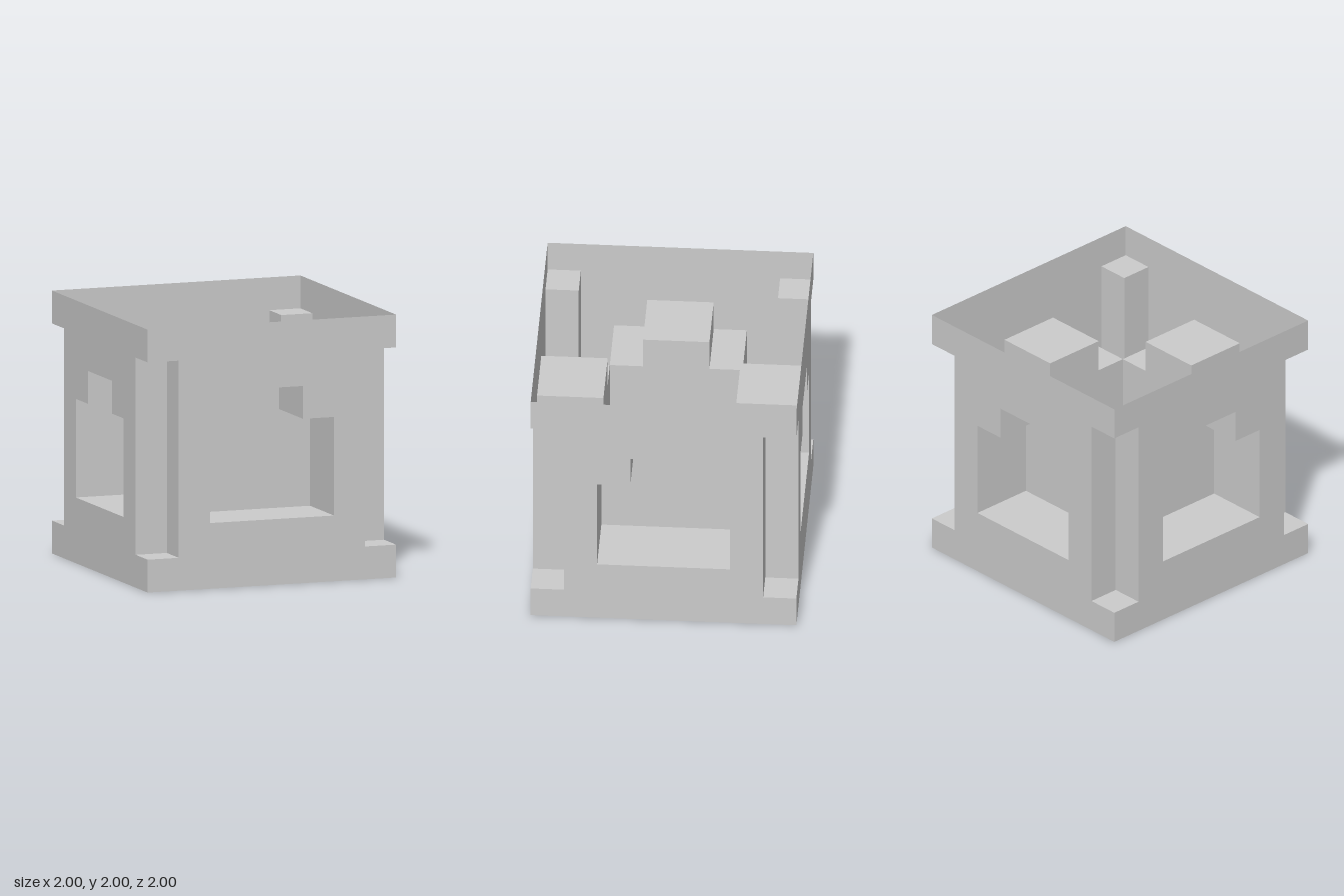
import * as THREE from 'three';

const material = new THREE.MeshStandardMaterial({
  color: 0xcccccc, flatShading: true, side: THREE.DoubleSide,
});

const shapeFrom = (points) => new THREE.Shape(points.map(([x, y]) => new THREE.Vector2(x, y)));

// Stepped window outline, counter-clockwise
const windowOutline = [
  [-0.5, 0.5], [0.5, 0.5], [0.5, 1.25], [0.25, 1.25],
  [0.25, 1.5], [-0.25, 1.5], [-0.25, 1.25], [-0.5, 1.25],
];

// Wall outline, notched along both vertical edges
const wallOutline = [
  [-1, 0], [1, 0], [1, 0.25], [0.75, 0.25], [0.75, 1.75], [1, 1.75],
  [1, 2], [-1, 2], [-1, 1.75], [-0.75, 1.75], [-0.75, 0.25], [-1, 0.25],
];

function addMesh(parent, name, geometry) {
  const mesh = new THREE.Mesh(geometry, material);
  mesh.name = name;
  parent.add(mesh);
  return mesh;
}

// Open band of faces running inward from an outline, facing its inside
function bandGeometry(outline, zFront, zBack) {
  const positions = [];
  outline.forEach(([ax, ay], i) => {
    const [bx, by] = outline[(i + 1) % outline.length];
    positions.push(
      ax, ay, zFront, bx, by, zFront, bx, by, zBack,
      ax, ay, zFront, bx, by, zBack, ax, ay, zBack,
    );
  });
  const geometry = new THREE.BufferGeometry();
  geometry.setAttribute('position', new THREE.Float32BufferAttribute(positions, 3));
  geometry.computeVertexNormals();
  return geometry;
}

// Thin wall with a closed, stepped pocket behind its opening
function createSide() {
  const side = new THREE.Group();
  const wall = shapeFrom(wallOutline);
  wall.holes.push(shapeFrom(windowOutline));
  addMesh(side, 'wall', new THREE.ShapeGeometry(wall)).position.z = 1;
  addMesh(side, 'pocketSides', bandGeometry(windowOutline, 1, 0.5));
  addMesh(side, 'pocketBack', new THREE.ShapeGeometry(shapeFrom(windowOutline))).position.z = 0.5;
  return side;
}

// Square recess cut into a vertical corner
function createCornerRecess() {
  const corner = new THREE.Group();
  const upright = new THREE.PlaneGeometry(0.25, 1.5);
  const ledge = new THREE.PlaneGeometry(0.25, 0.25);
  addMesh(corner, 'recessWallFront', upright).position.set(0.875, 1, 0.75);
  const sideWall = addMesh(corner, 'recessWallSide', upright);
  sideWall.position.set(0.75, 1, 0.875);
  sideWall.rotation.y = Math.PI / 2;
  const floor = addMesh(corner, 'recessFloor', ledge);
  floor.position.set(0.875, 0.25, 0.875);
  floor.rotation.x = -Math.PI / 2;
  const ceiling = addMesh(corner, 'recessCeiling', ledge);
  ceiling.position.set(0.875, 1.75, 0.875);
  ceiling.rotation.x = Math.PI / 2;
  return corner;
}

export function createModel() {
  const model = new THREE.Group();
  model.name = 'notchedBox';
  // Four identical sides and corners around an open top and bottom
  ['front', 'left', 'back', 'right'].forEach((name, i) => {
    const side = createSide();
    side.name = `${name}Side`;
    const corner = createCornerRecess();
    corner.name = `cornerRecess${i + 1}`;
    side.rotation.y = corner.rotation.y = i * Math.PI / 2;
    model.add(side, corner);
  });
  return model;
}
